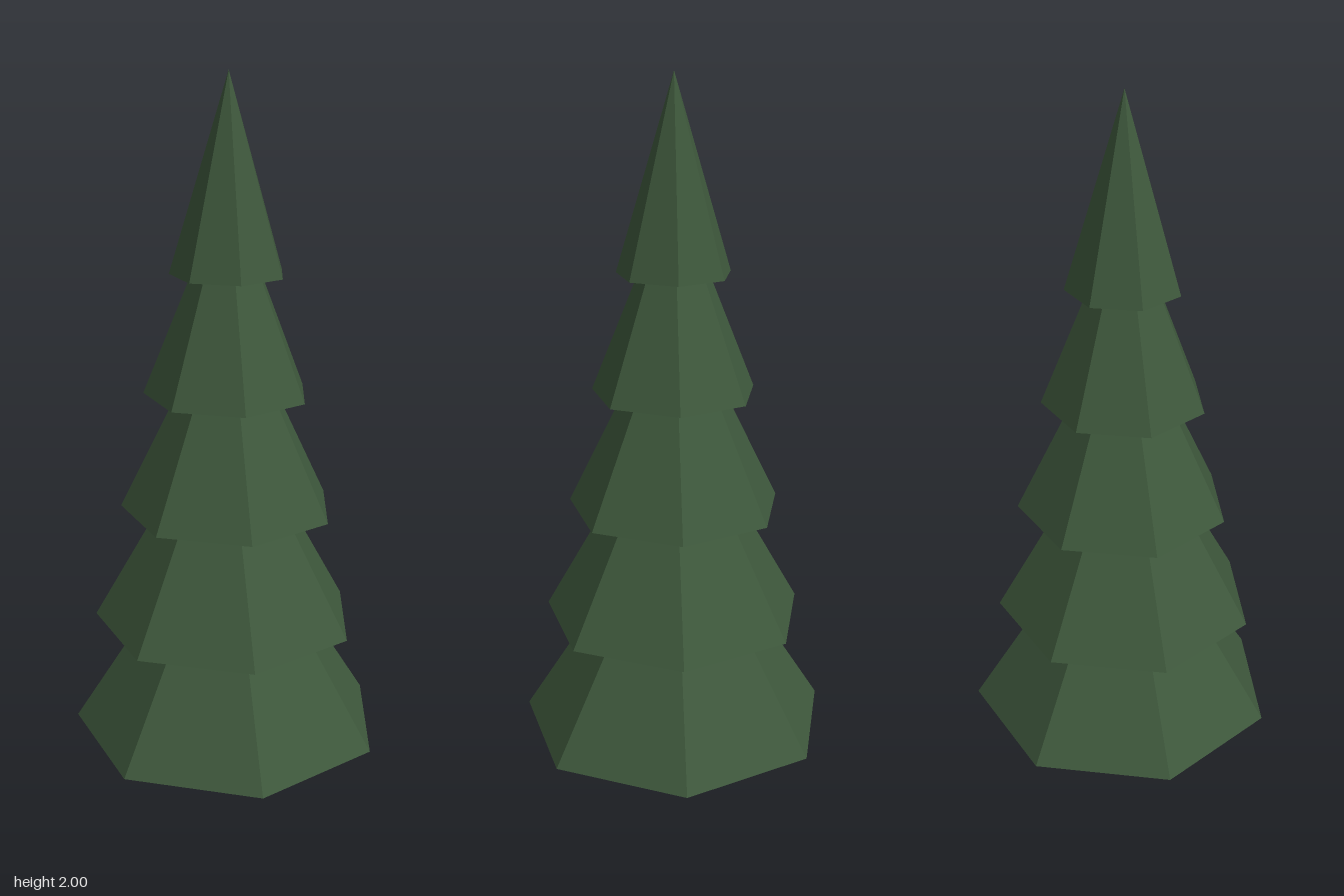
import * as THREE from 'three';

export function createModel() {
  const tree = new THREE.Group();
  tree.name = 'pineTree';

  const needles = new THREE.MeshStandardMaterial({ color: 0x3e583c });
  needles.name = 'pineGreen';
  needles.flatShading = true;
  needles.side = THREE.DoubleSide; // tiers are hollow, open underneath

  // Five overlapping seven-sided cones, each a little smaller and off-centre
  const tiers = 5;
  const offsets = [-0.002, -0.012, -0.003, -0.007, -0.004];
  for (let i = 0; i < tiers; i++) {
    const radius = 0.48 - 0.077 * i;
    const base = 0.357 * i;
    const tip = 0.76 + 0.31 * i;
    const height = tip - base;
    const cone = new THREE.ConeGeometry(radius, height, 7, 1, true, Math.PI);
    const tier = new THREE.Mesh(cone, needles);
    tier.name = `branchTier${i + 1}`;
    tier.position.set(offsets[i], base + height / 2, 0.024);
    tree.add(tier);
  }

  return tree;
}
